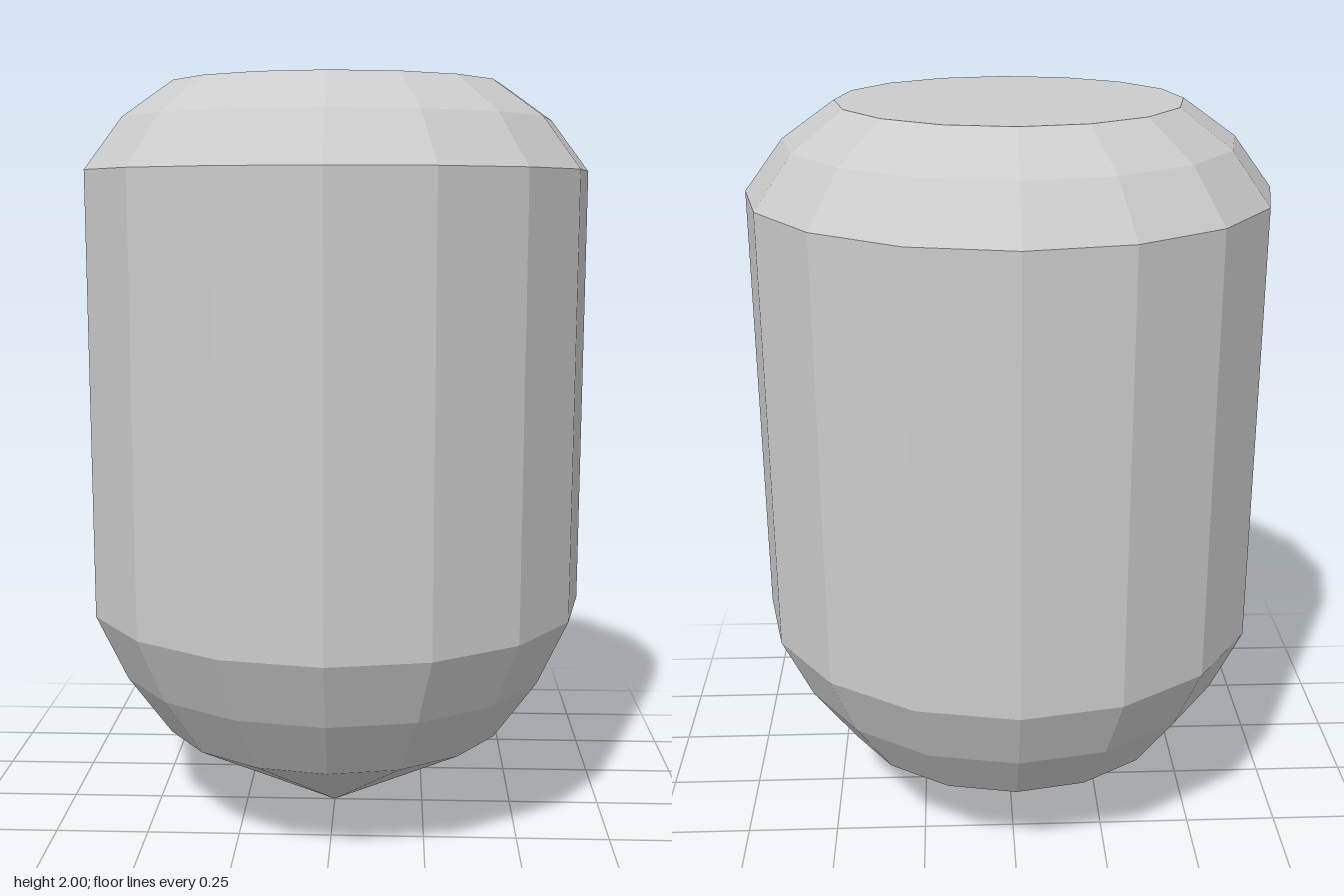
import * as THREE from 'three';

const SIDES = 16;

export function createModel() {
  const model = new THREE.Group();
  const material = new THREE.MeshStandardMaterial({ color: 0xcccccc, flatShading: true });

  // Ring of flat facets between two heights
  function band(name, [r0, y0], [r1, y1]) {
    const geometry = new THREE.CylinderGeometry(r1, r0, y1 - y0, SIDES, 1, true);
    const mesh = new THREE.Mesh(geometry, material);
    mesh.name = name;
    mesh.position.y = (y0 + y1) / 2;
    model.add(mesh);
  }

  // Profile as [radius, height], from the pointed tip to the flat top
  const profile = [[0, 0], [0.475, 0.263], [0.592, 0.428], [0.675, 0.607], [0.675, 1.773], [0.575, 1.905], [0.44, 2]];
  const names = ['tip', 'lowerTaper', 'lowerShoulder', 'body', 'upperShoulder', 'upperBevel'];
  names.forEach((name, i) => band(name, profile[i], profile[i + 1]));

  // Flat lid
  const lid = new THREE.Mesh(new THREE.CircleGeometry(0.44, SIDES), material);
  lid.name = 'lid';
  lid.rotation.x = -Math.PI / 2;
  lid.position.y = 2;
  model.add(lid);

  return model;
}
